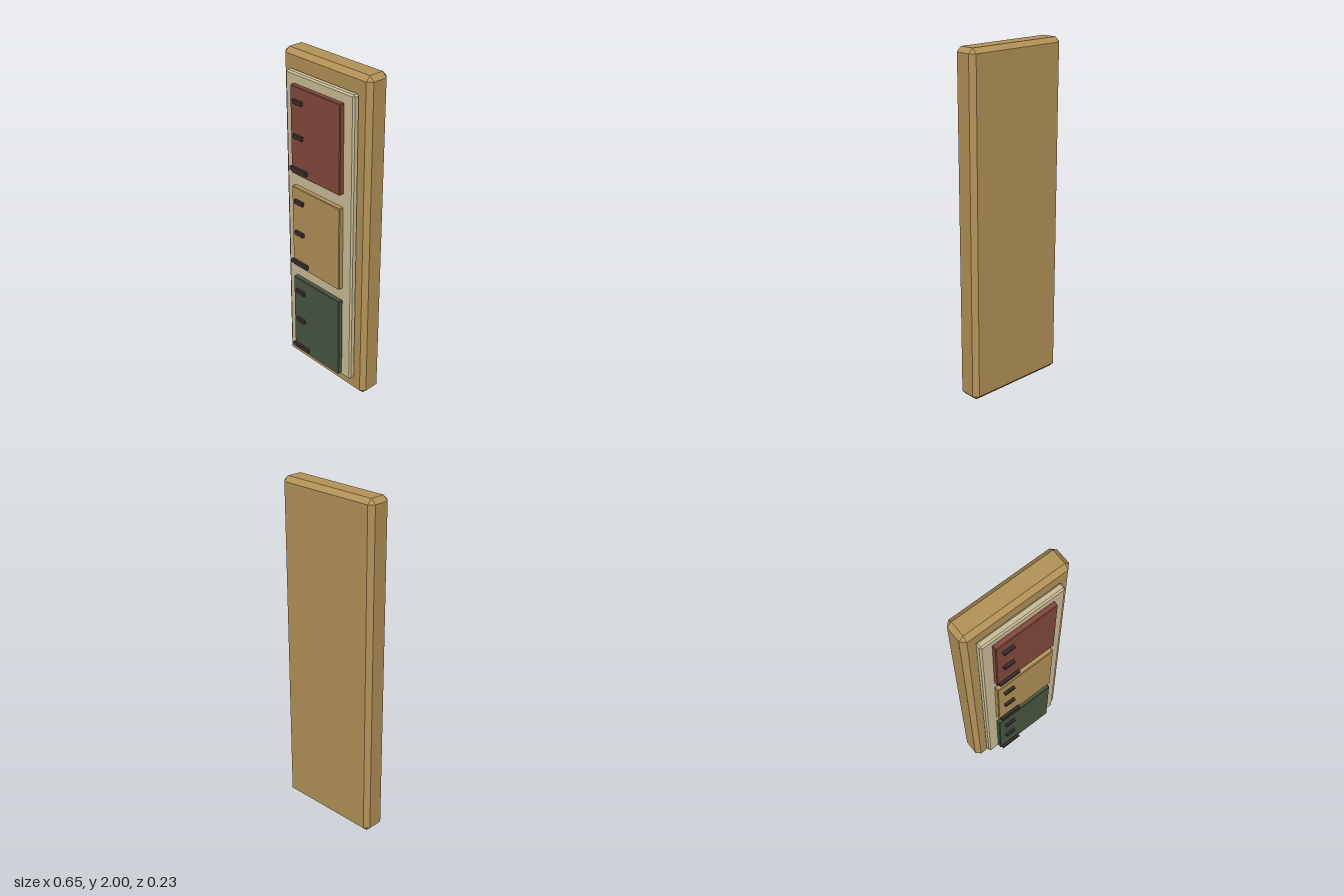
import * as THREE from 'three';
import { ConvexGeometry } from 'three/addons/geometries/ConvexGeometry.js';

// Box with cut edges and corners: each corner becomes three points
function chamferBox(w, h, d, c) {
  const points = [];
  for (const sx of [-1, 1]) for (const sy of [-1, 1]) for (const sz of [-1, 1]) {
    const x = w / 2, y = h / 2, z = d / 2;
    points.push(
      new THREE.Vector3(sx * x, sy * (y - c), sz * (z - c)),
      new THREE.Vector3(sx * (x - c), sy * y, sz * (z - c)),
      new THREE.Vector3(sx * (x - c), sy * (y - c), sz * z)
    );
  }
  return new ConvexGeometry(points);
}

function material(name, color) {
  const m = new THREE.MeshStandardMaterial({ color });
  m.name = name;
  return m;
}

export function createModel() {
  const group = new THREE.Group();
  group.name = 'wallBoard';

  const wood = material('wood', 0xb39257);
  const cream = material('cream', 0xcabc96);
  const red = material('brickRed', 0x83493c);
  const green = material('darkGreen', 0x4a5742);
  const dark = material('darkBrown', 0x382f30);

  // Place a part by its low and high corners
  function add(name, mat, [x0, x1], [y0, y1], [z0, z1], chamfer = 0) {
    const size = [x1 - x0, y1 - y0, z1 - z0];
    const geometry = chamfer ? chamferBox(...size, chamfer) : new THREE.BoxGeometry(...size);
    const mesh = new THREE.Mesh(geometry, mat);
    mesh.name = name;
    mesh.position.set((x0 + x1) / 2, (y0 + y1) / 2, (z0 + z1) / 2);
    group.add(mesh);
  }

  // Backing board and raised panel
  add('backBoard', wood, [-0.327, 0.327], [0, 2], [-0.118, 0.026], 0.027);
  add('panel', cream, [-0.258, 0.258], [0.104, 1.9], [0.025, 0.067], 0.009);

  // Three coloured tiles, each with two short bars and a long one
  [['lower', green], ['middle', wood], ['upper', red]].forEach(([level, mat], i) => {
    const y = 0.382 + i * 0.6;
    add(level + 'Tile', mat, [-0.19, 0.19], [y - 0.26, y + 0.26], [0.064, 0.096], 0.004);
    [-0.22, -0.02, 0.18].forEach((dy, j) => {
      const span = j === 0 ? [-0.185, -0.054] : [-0.154, -0.087];
      add(level + 'Bar' + (j + 1), dark, span, [y + dy - 0.012, y + dy + 0.012], [0.101, 0.116]);
    });
  });

  return group;
}
